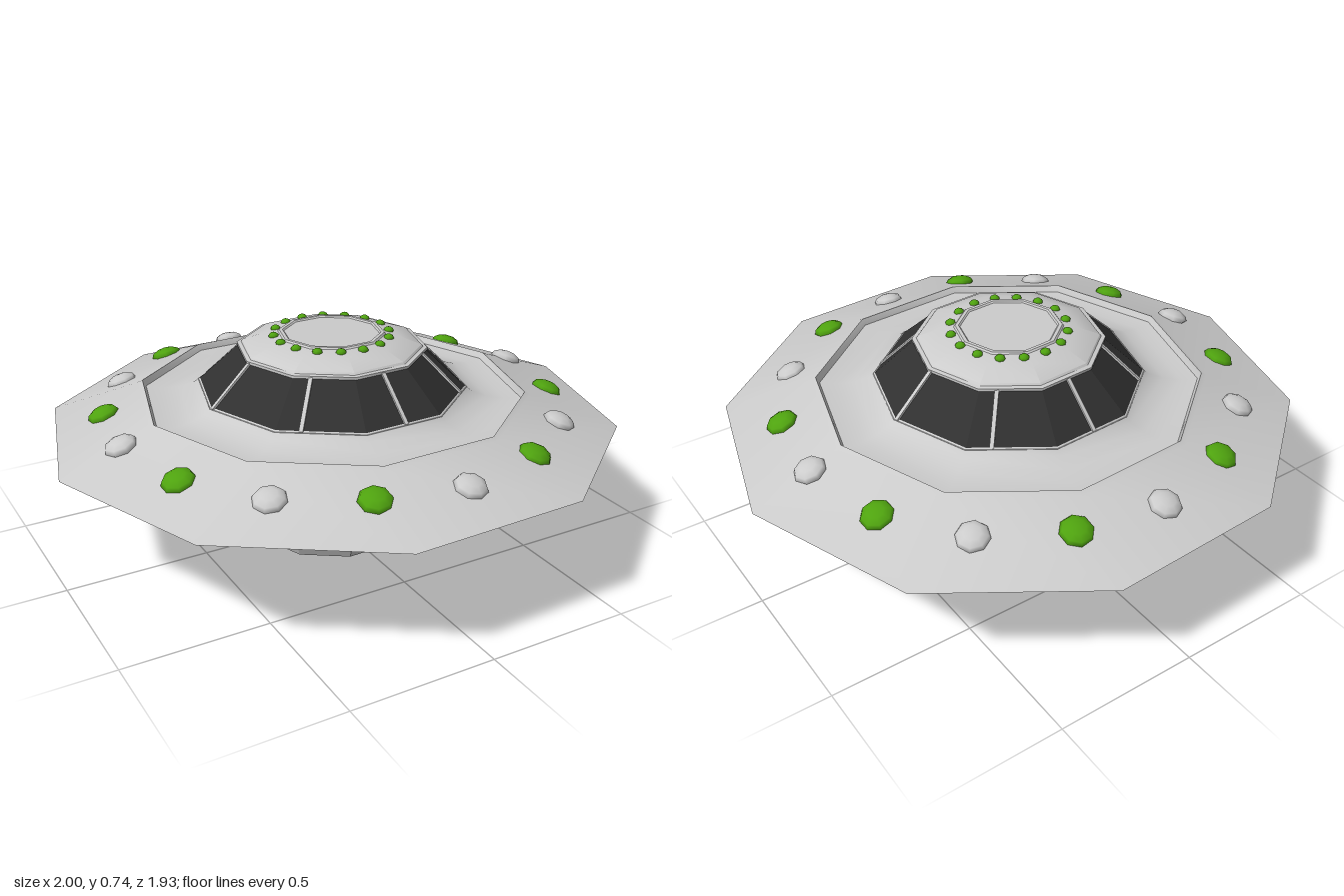
import * as THREE from 'three';
import { toCreasedNormals } from 'three/addons/utils/BufferGeometryUtils.js';

const SIDES = 10;
const TURN = THREE.MathUtils.degToRad(2.4); // slight twist of the whole hull
const PHI = Math.PI / 2 + TURN;

const grey = new THREE.MeshStandardMaterial({ color: 0xcccccc });
const greyFlat = new THREE.MeshStandardMaterial({ color: 0xcccccc, flatShading: true, side: THREE.DoubleSide });
const glass = new THREE.MeshStandardMaterial({ color: 0x303030, flatShading: true, side: THREE.DoubleSide });
const green = new THREE.MeshStandardMaterial({ color: 0x4fa30f });

// Ten-sided turned part; profile runs [radius, y] from bottom to top
function turned(name, profile, material, crease = 0.66) {
  const points = profile.map(([r, y]) => new THREE.Vector2(r, y));
  let geometry = new THREE.LatheGeometry(points, SIDES, PHI);
  if (!material.flatShading) geometry = toCreasedNormals(geometry, crease);
  const mesh = new THREE.Mesh(geometry, material);
  mesh.name = name;
  return mesh;
}

// Distance factor from the axis to a ten-sided outline at a given angle
function outline(angle) {
  const step = (2 * Math.PI) / SIDES;
  const a = (((angle + TURN) % step) + step) % step - step / 2;
  return Math.cos(step / 2) / Math.cos(a);
}

// Evenly spaced arms around the axis; local +x points outward
function ring(name, count, start, build) {
  const group = new THREE.Group();
  group.name = name;
  for (let i = 0; i < count; i++) {
    const angle = start + (i * 2 * Math.PI) / count;
    const arm = new THREE.Group();
    arm.rotation.y = -angle;
    arm.add(build(i, angle));
    group.add(arm);
  }
  return group;
}

export function createModel() {
  const model = new THREE.Group();
  model.name = 'flyingSaucer';

  // Saucer disc: underside, sharp edge, raised lip and smooth trough
  model.add(turned('saucerDisc', [
    [0.45, 0.27], [0.52, 0.285], [0.68, 0.322], [1, 0.408], [0.69, 0.518], [0.672, 0.527],
    [0.66, 0.505], [0.6, 0.5], [0.54, 0.508], [0.49, 0.525], [0.465, 0.545],
  ], grey));

  // Drum below the disc, two bands with a groove between them
  model.add(turned('drum', [
    [0.34, 0.16], [0.515, 0.16], [0.515, 0.218], [0.5, 0.226],
    [0.5, 0.236], [0.515, 0.242], [0.515, 0.285], [0.45, 0.285],
  ], grey));

  // Tapered hollow foot with its inner wall and ceiling
  model.add(turned('foot', [
    [0, 0.13], [0.32, 0.13], [0.265, 0], [0.285, 0], [0.36, 0.165],
  ], greyFlat));

  // Hub and spokes inside the foot
  const hubShape = new THREE.Shape().absarc(0, 0, 0.045, 0, Math.PI * 2);
  hubShape.holes.push(new THREE.Path().absarc(0, 0, 0.025, 0, Math.PI * 2));
  const hub = new THREE.Mesh(
    new THREE.ExtrudeGeometry(hubShape, { depth: 0.1, bevelEnabled: false, curveSegments: 8 }), greyFlat);
  hub.name = 'hub';
  hub.rotation.x = -Math.PI / 2;
  hub.position.y = 0.03;
  model.add(hub);
  model.add(ring('spokes', 5, Math.PI * 0.78, () => {
    const spoke = new THREE.Mesh(new THREE.BoxGeometry(0.225, 0.03, 0.03), grey);
    spoke.name = 'spoke';
    spoke.position.set(0.15, 0.05, 0);
    return spoke;
  }));

  // Window band with a sill and dividing bars
  model.add(turned('windowSill', [[0.472, 0.53], [0.472, 0.541], [0.44, 0.541]], grey));
  model.add(turned('windowBand', [[0.468, 0.54], [0.322, 0.675]], glass));
  model.add(ring('windowBars', 8, -0.06, (i, angle) => {
    const k = outline(angle);
    const run = 0.146 * k, rise = 0.135;
    const bar = new THREE.Mesh(new THREE.BoxGeometry(Math.hypot(run, rise), 0.012, 0.014), grey);
    bar.name = 'windowBar';
    bar.position.set(0.395 * k, 0.6075, 0);
    bar.rotation.z = -Math.atan2(rise, run);
    return bar;
  }));

  // Roof: rim, sloping cap and raised top plate
  model.add(turned('roof', [
    [0.28, 0.672], [0.33, 0.672], [0.33, 0.681], [0.315, 0.683], [0.31, 0.69],
    [0.235, 0.717], [0.187, 0.725], [0.182, 0.731], [0.17, 0.731], [0.165, 0.726], [0, 0.726],
  ], grey));

  // Alternating domed lamps on the disc, tilted to its slope
  const lampGeometry = new THREE.SphereGeometry(0.056, 8, 6);
  model.add(ring('discLamps', 16, -0.045, (i, angle) => {
    const lamp = new THREE.Mesh(lampGeometry, i % 2 ? green : grey);
    lamp.name = i % 2 ? 'greenLamp' : 'paleLamp';
    lamp.scale.y = 0.5;
    const edge = outline(angle);
    lamp.position.set(0.79, 0.408 + (1 - 0.79 / edge) * 0.355, 0);
    lamp.rotation.z = -0.34;
    return lamp;
  }));

  // Small lamps around the top plate
  const smallGeometry = new THREE.SphereGeometry(0.018, 8, 6);
  model.add(ring('roofLamps', 16, -0.04, () => {
    const lamp = new THREE.Mesh(smallGeometry, green);
    lamp.name = 'roofLamp';
    lamp.scale.y = 0.75;
    lamp.position.set(0.2, 0.722, 0);
    return lamp;
  }));

  // Slight lean of the craft
  model.rotation.set(-0.008, 0, -0.008);
  model.position.set(-0.003, 0.003, 0.003);
  const root = new THREE.Group();
  root.name = 'saucer';
  root.add(model);
  return root;
}
